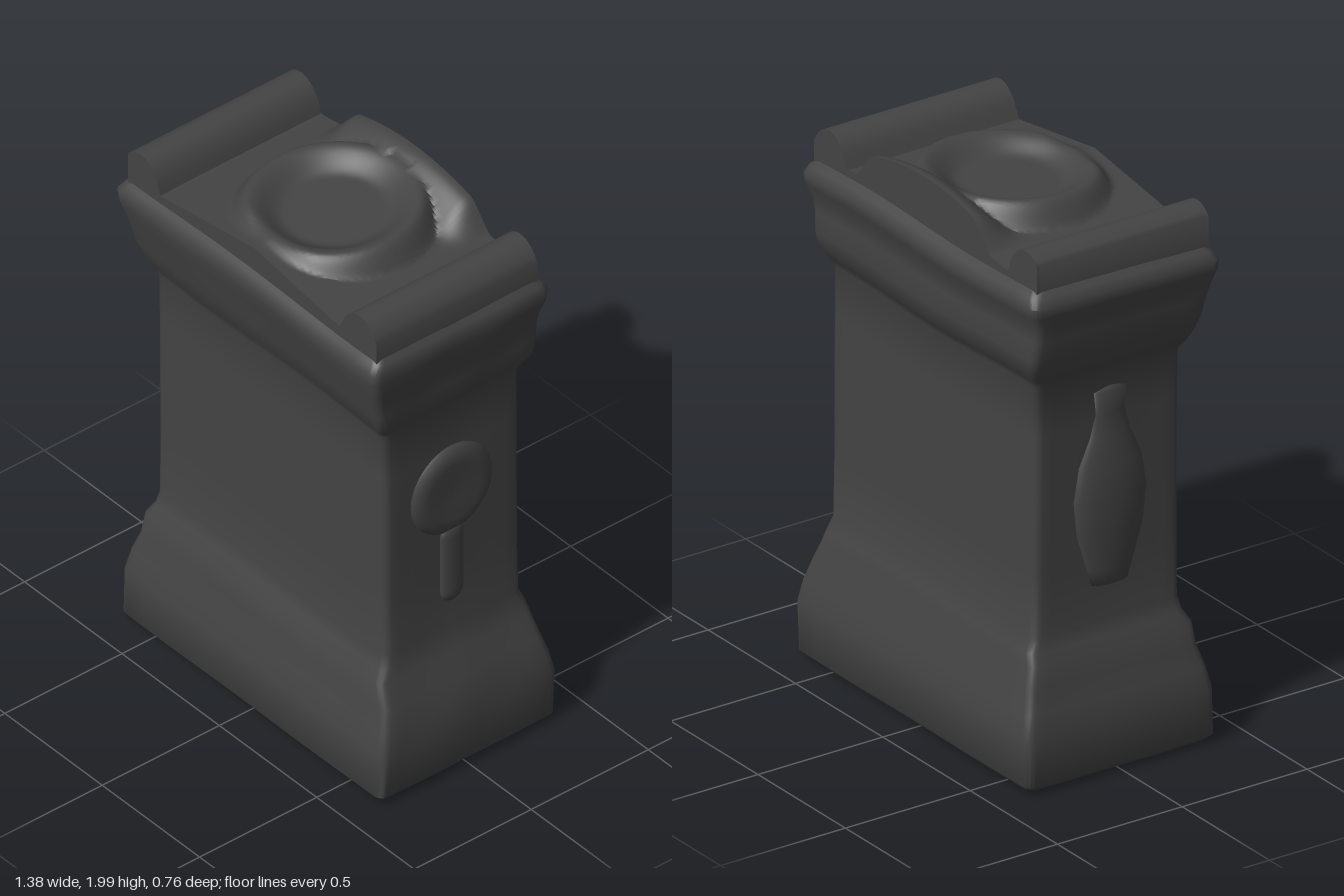
import * as THREE from 'three';
import { toCreasedNormals } from 'three/addons/utils/BufferGeometryUtils.js';

const stone = new THREE.MeshStandardMaterial({ color: 0x444444, side: THREE.DoubleSide });
const { clamp, lerp, smoothstep } = THREE.MathUtils;

// Outline of the moulded block: [y, -x extent, +x extent, -z extent, +z extent]
const PROFILE = [
  [0.01, 0.64, 0.66, 0.36, 0.36],
  [0.03, 0.66, 0.68, 0.378, 0.378],
  [0.2, 0.66, 0.685, 0.38, 0.37],
  [0.28, 0.645, 0.67, 0.365, 0.352],
  [0.36, 0.62, 0.65, 0.343, 0.333],
  [0.44, 0.612, 0.615, 0.33, 0.322],
  [0.48, 0.59, 0.605, 0.32, 0.298],
  [0.53, 0.58, 0.595, 0.3, 0.287],
  [0.75, 0.58, 0.59, 0.297, 0.284],
  [1.0, 0.583, 0.59, 0.296, 0.284],
  [1.25, 0.587, 0.588, 0.296, 0.284],
  [1.43, 0.59, 0.585, 0.295, 0.284],
  [1.46, 0.615, 0.595, 0.31, 0.295],
  [1.5, 0.63, 0.618, 0.337, 0.318],
  [1.56, 0.652, 0.62, 0.35, 0.335],
  [1.63, 0.66, 0.63, 0.345, 0.352],
  [1.68, 0.668, 0.645, 0.345, 0.365],
  [1.73, 0.685, 0.652, 0.37, 0.378],
  [1.77, 0.69, 0.655, 0.376, 0.38],
  [1.8, 0.67, 0.645, 0.36, 0.362],
  [1.84, 0.62, 0.6, 0.31, 0.32],
];

// Rounded rectangle running from +x towards +z
function outline(x0, x1, z0, z1, r = 0.03, side = 14, arc = 4) {
  const corners = [[x1 - r, z1 - r], [x0 + r, z1 - r], [x0 + r, z0 + r], [x1 - r, z0 + r]];
  const pts = [];
  corners.forEach(([cx, cz], k) => {
    for (let i = 0; i <= arc; i++) {
      const a = (k + i / arc) * Math.PI / 2;
      pts.push([cx + r * Math.cos(a), cz + r * Math.sin(a)]);
    }
    const [px, pz] = pts[pts.length - 1];
    const b = (k + 1) * Math.PI / 2, [nx, nz] = corners[(k + 1) % 4];
    const qx = nx + r * Math.cos(b), qz = nz + r * Math.sin(b);
    for (let i = 1; i < side; i++) pts.push([lerp(px, qx, i / side), lerp(pz, qz, i / side)]);
  });
  return pts;
}

// Plinth, shaft and cornice as one worn, lofted block
function blockGeometry() {
  const pos = [], idx = [];
  let n = 0;
  PROFILE.forEach(([y, l, r, b, f]) => {
    const ring = outline(-l, r, -b, f);
    n = ring.length;
    for (const [x, z] of ring) {
      const wear = 1 + 0.004 * Math.sin(9 * x + 7 * y + 5 * z) * Math.sin(13 * z + 4 * y);
      const dy = y > 0.3 ? 0.007 * Math.sin(6 * x + 3 * z + 4 * y) : 0;
      pos.push(x * wear, y + dy, z * wear);
    }
  });
  for (let j = 0; j < PROFILE.length - 1; j++) {
    for (let i = 0; i < n; i++) {
      const a = j * n + i, b = j * n + (i + 1) % n;
      idx.push(a, a + n, b, b, a + n, b + n);
    }
  }
  // Underside
  const c = pos.length / 3;
  pos.push(0, 0, 0);
  for (let i = 0; i < n; i++) idx.push(c, i, (i + 1) % n);
  const g = new THREE.BufferGeometry();
  g.setAttribute('position', new THREE.Float32BufferAttribute(pos, 3));
  g.setIndex(idx);
  return toCreasedNormals(g, 0.9);
}

// Height of the top: gable, side bolsters and a hollowed round dish
function topHeight(x, z) {
  const ax = Math.abs(x);
  let h = 1.84 + 0.07 * Math.max(0, 1 - ax / 0.47);
  // pediment rising at the back
  const back = 1 - smoothstep(z, -0.33, -0.16);
  const pediment = 1.995 - 0.5 * x * x;
  h = lerp(h, Math.max(h, lerp(pediment, 1.84, smoothstep(ax, 0.28, 0.42))), back);
  // dish with a raised rim
  const r = Math.hypot(x + 0.005, z - 0.005);
  const rim = 1.945 - 0.05 * z;
  h = Math.max(h, lerp(rim, 1.84, smoothstep(r, 0.285, 0.38)));
  if (r < 0.285) h = rim - 0.055 * smoothstep(0.285 - r, 0, 0.12);
  // front edge falls to the low gable
  h = lerp(h, Math.min(h, 1.91 - 0.15 * ax), smoothstep(z, 0.24, 0.33));
  // bolsters
  const d = (x < 0 ? x + 0.585 : x - 0.54) / 0.1;
  if (Math.abs(d) < 1) h = Math.max(h, 1.83 + 0.12 * Math.pow(1 - d * d, 0.6));
  return h;
}

function topGeometry() {
  const x0 = -0.65, x1 = 0.627, z0 = -0.337, z1 = 0.35, nx = 100, nz = 56;
  const dx = (x1 - x0) / nx, dz = (z1 - z0) / nz;
  const g = new THREE.PlaneGeometry(x1 - x0 + 2 * dx, z1 - z0 + 2 * dz, nx + 2, nz + 2);
  g.rotateX(-Math.PI / 2).translate((x0 + x1) / 2, 0, (z0 + z1) / 2);
  const p = g.attributes.position;
  for (let i = 0; i < p.count; i++) {
    const px = p.getX(i), pz = p.getZ(i);
    const x = clamp(px, x0, x1), z = clamp(pz, z0, z1);
    // the outermost row drops down to form the walls
    const skirt = Math.abs(px - x) > dx / 2 || Math.abs(pz - z) > dz / 2;
    p.setXYZ(i, x, skirt ? 1.77 : topHeight(x, z), z);
  }
  g.deleteAttribute('uv');
  return toCreasedNormals(g, 0.8);
}

// Shallow lathe relief
const lathe = (pts) => new THREE.LatheGeometry(pts.map(([r, y]) => new THREE.Vector2(r, y)), 40);

export function createModel() {
  const model = new THREE.Group();
  const add = (name, geometry, parent = model) => {
    const m = new THREE.Mesh(geometry, stone);
    m.name = name;
    parent.add(m);
    return m;
  };

  add('mouldedBlock', blockGeometry());
  add('topWithBolstersAndDish', topGeometry());

  // Round offering bowl with a handle on the left side
  const bowl = new THREE.Group();
  bowl.name = 'offeringBowl';
  model.add(bowl);
  const disc = add('bowlDisc', lathe([[0.18, -0.01], [0.17, 0.008], [0.145, 0.022], [0.11, 0.024], [0.05, 0.02], [0, 0.019]]), bowl);
  disc.rotation.z = -Math.PI / 2;
  disc.position.set(0.588, 1.09, 0);
  const handle = add('bowlHandle', new THREE.CapsuleGeometry(0.05, 0.22, 6, 20), bowl);
  handle.scale.x = 0.4;
  handle.position.set(0.59, 0.79, 0);

  // Worn jug on the right side
  const jug = new THREE.Group();
  jug.name = 'jug';
  model.add(jug);
  const body = add('jugBody', lathe([[0, 0.65], [0.07, 0.66], [0.09, 0.72], [0.13, 0.85], [0.145, 0.98],
    [0.125, 1.1], [0.08, 1.2], [0.06, 1.28], [0.07, 1.36], [0, 1.38]]), jug);
  body.scale.x = 0.32;
  body.position.x = -0.583;

  return model;
}
